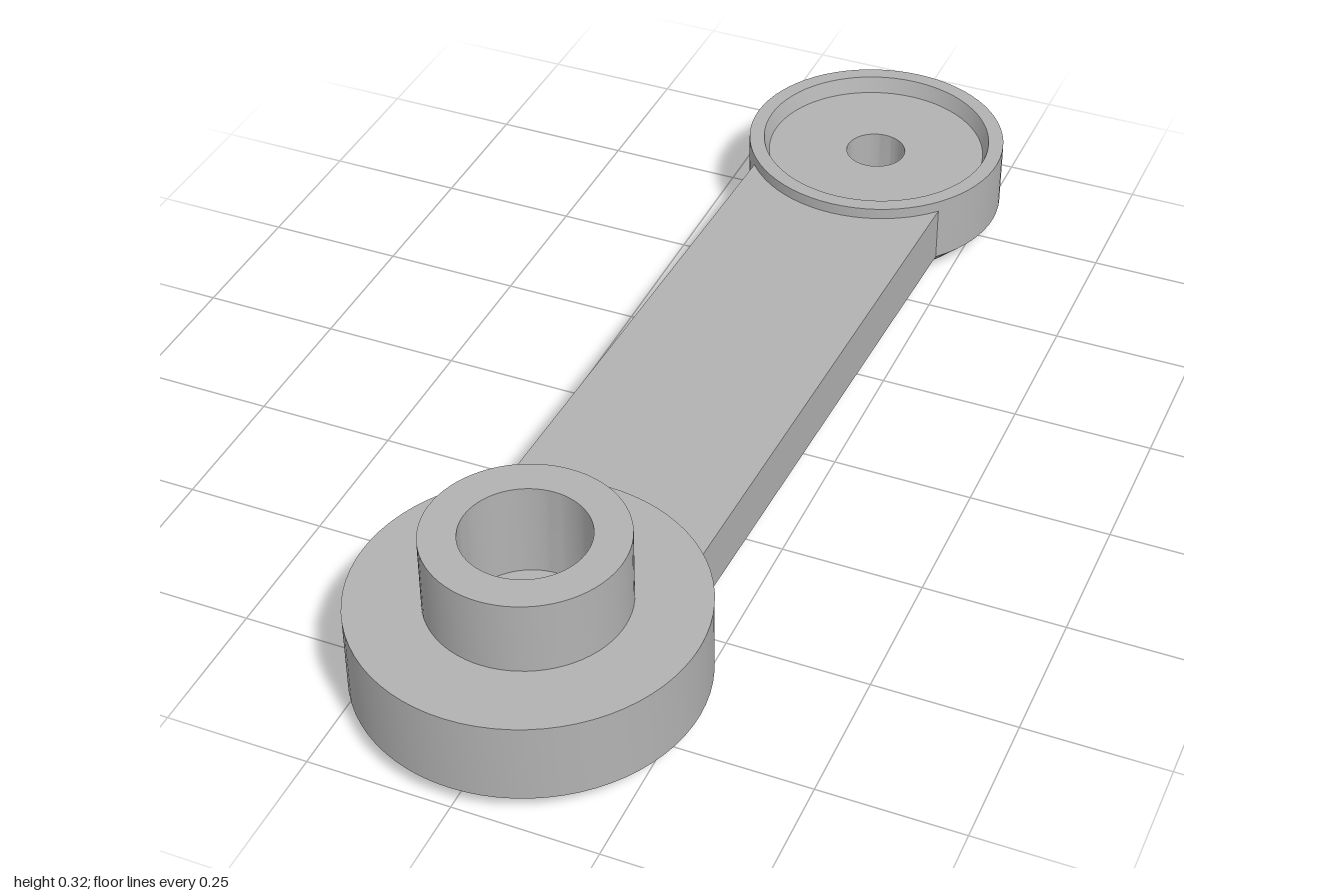
import * as THREE from 'three';
import { toCreasedNormals } from 'three/addons/utils/BufferGeometryUtils.js';

const FRONT_Z = 0.708, BACK_X = 0.045, BACK_Z = -0.756;

// Closed ring profile, run from the bottom inner edge outwards, up, and down the bore
function turned(profile) {
  const points = [...profile, profile[0]].map(([r, y]) => new THREE.Vector2(r, y));
  return toCreasedNormals(new THREE.LatheGeometry(points, 72), Math.PI / 8);
}

// Plan of the bar with concave ends that tuck into the two round hubs
function barOutline(halfWidth, frontR, backR, length, steps = 12) {
  const pts = [];
  for (const [r, side] of [[frontR, 1], [backR, -1]]) {
    const a0 = Math.asin(halfWidth / r);
    for (let i = 0; i <= steps; i++) {
      const a = side * a0 * (2 * i / steps - 1);
      const along = r * Math.cos(a);
      pts.push(new THREE.Vector2(r * Math.sin(a), side > 0 ? along : length - along));
    }
  }
  return pts;
}

// Bar with chamfered lower edges, lofted through three outlines
function barGeometry(length) {
  const rings = [
    { y: 0, pts: barOutline(0.146, 0.242, 0.194, length) },
    { y: 0.042, pts: barOutline(0.188, 0.284, 0.236, length) },
    { y: 0.147, pts: barOutline(0.188, 0.284, 0.236, length) },
  ];
  const pos = [];
  const put = (ring, i) => pos.push(ring.pts[i].x, ring.y, -ring.pts[i].y);
  const n = rings[0].pts.length;
  for (let k = 0; k < 2; k++) {
    const lo = rings[k], hi = rings[k + 1];
    for (let i = 0; i < n; i++) {
      const j = (i + 1) % n;
      put(lo, i); put(lo, j); put(hi, j);
      put(lo, i); put(hi, j); put(hi, i);
    }
  }
  for (const [a, b, c] of THREE.ShapeUtils.triangulateShape(rings[2].pts, [])) {
    put(rings[2], a); put(rings[2], b); put(rings[2], c);
  }
  for (const [a, b, c] of THREE.ShapeUtils.triangulateShape(rings[0].pts, [])) {
    put(rings[0], c); put(rings[0], b); put(rings[0], a);
  }
  const geo = new THREE.BufferGeometry();
  geo.setAttribute('position', new THREE.Float32BufferAttribute(pos, 3));
  geo.computeVertexNormals();
  return geo;
}

export function createModel() {
  const model = new THREE.Group();
  model.name = 'linkArm';
  const grey = new THREE.MeshStandardMaterial({ color: 0xb2b2b2 });
  grey.name = 'grey';

  const add = (name, geometry, x, z) => {
    const mesh = new THREE.Mesh(geometry, grey);
    mesh.name = name;
    mesh.position.set(x, 0, z);
    model.add(mesh);
    return mesh;
  };

  // Front hub: raised boss with a stepped bore and a countersunk underside
  add('frontHub', turned([
    [0.12, 0], [0.25, 0], [0.292, 0.042], [0.292, 0.188],
    [0.167, 0.188], [0.167, 0.32], [0.106, 0.32], [0.106, 0.15],
    [0.043, 0.15], [0.043, 0.11], [0.085, 0.11], [0.085, 0.042],
  ]), 0, FRONT_Z);

  // Back hub: shallow dished top, through hole and counterbore
  add('backHub', turned([
    [0.118, 0], [0.202, 0], [0.244, 0.042], [0.244, 0.168],
    [0.216, 0.168], [0.206, 0.138], [0.056, 0.138], [0.056, 0.06],
    [0.105, 0.06], [0.105, 0.02],
  ]), BACK_X, BACK_Z);

  // Bar joining the two hubs, turned slightly towards the back hub
  const length = Math.hypot(BACK_X, FRONT_Z - BACK_Z);
  const bar = add('bar', barGeometry(length), 0, FRONT_Z);
  bar.rotation.y = -Math.atan2(BACK_X, FRONT_Z - BACK_Z);

  return model;
}
